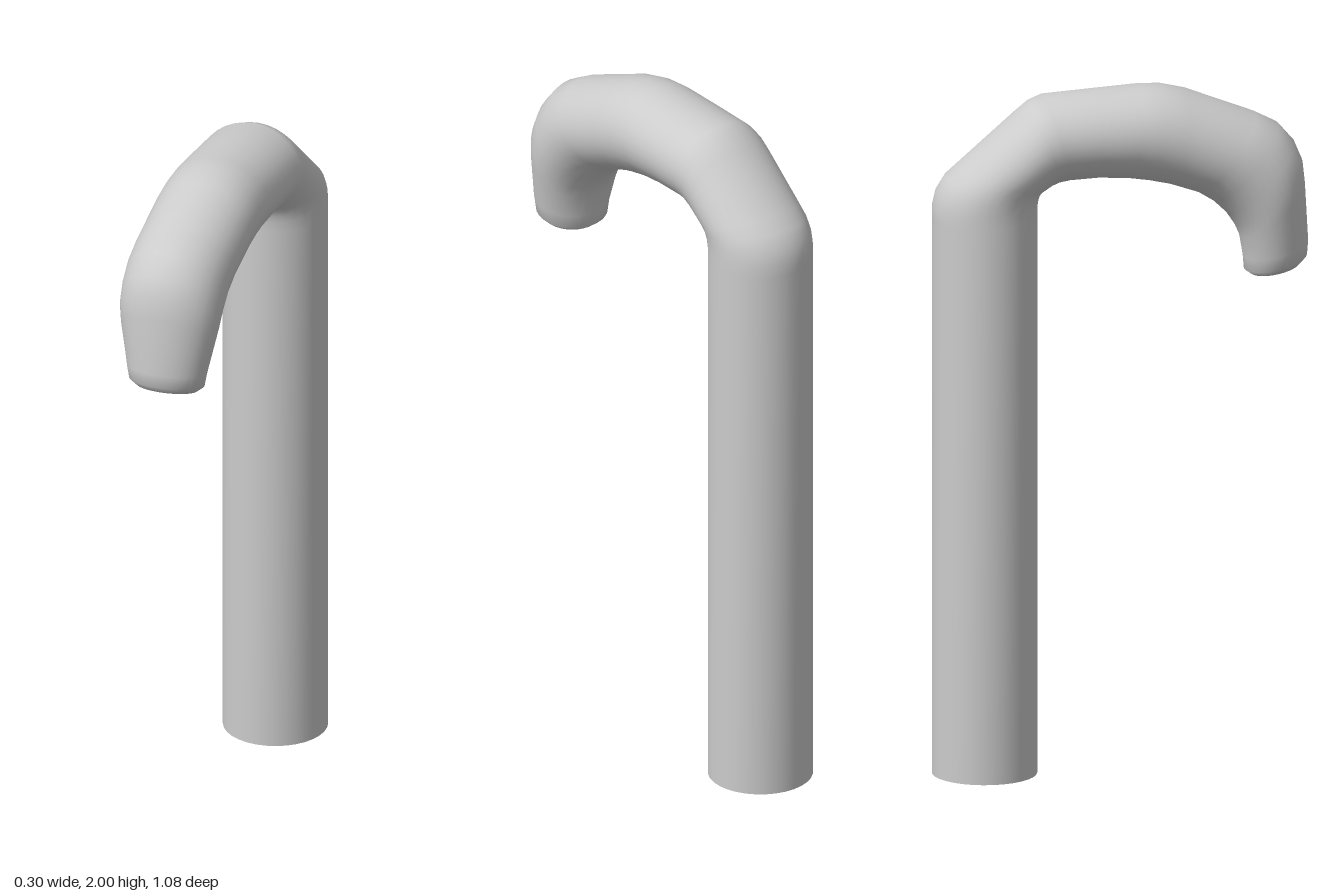
import * as THREE from 'three';

const SIDES = 32;

// Cross-sections: [outer z, outer y, inner z, inner y, half width in x]
const SECTIONS = [
  // shaft
  [-0.54, 0, -0.24, 0, 0.15],
  [-0.54, 1.63, -0.24, 1.63, 0.15],
  // elbow
  [-0.54, 1.665, -0.24, 1.66, 0.15],
  [-0.53, 1.71, -0.237, 1.68, 0.15],
  [-0.505, 1.75, -0.232, 1.695, 0.15],
  [-0.465, 1.785, -0.225, 1.705, 0.15],
  [-0.30, 1.93, -0.20, 1.72, 0.15],
  [-0.26, 1.963, -0.18, 1.728, 0.15],
  [-0.22, 1.98, -0.15, 1.733, 0.15],
  // handle
  [-0.08, 1.99, -0.07, 1.737, 0.15],
  [0.06, 2.0, 0.02, 1.732, 0.15],
  [0.12, 1.998, 0.08, 1.723, 0.15],
  [0.19, 1.982, 0.14, 1.71, 0.15],
  [0.39, 1.905, 0.22, 1.683, 0.15],
  [0.455, 1.872, 0.265, 1.655, 0.15],
  [0.5, 1.82, 0.305, 1.617, 0.15],
  [0.523, 1.765, 0.33, 1.58, 0.148],
  [0.53, 1.7, 0.345, 1.545, 0.14],
  [0.54, 1.53, 0.355, 1.485, 0.117],
  // rounded tip
  [0.537, 1.49, 0.358, 1.447, 0.11],
  [0.518, 1.467, 0.375, 1.435, 0.09],
  [0.49, 1.457, 0.4, 1.432, 0.06],
  [0.443, 1.443, 0.443, 1.443, 0],
];

// Smooth skin through elliptical rings
function loft(sections) {
  const positions = [], index = [];
  sections.forEach(([oz, oy, iz, iy, w], i) => {
    for (let j = 0; j < SIDES; j++) {
      const t = (j / SIDES) * Math.PI * 2, c = Math.cos(t) / 2;
      positions.push(w * Math.sin(t), (oy + iy) / 2 + c * (oy - iy), (oz + iz) / 2 + c * (oz - iz));
      if (i === 0) continue;
      const k = (j + 1) % SIDES, low = (i - 1) * SIDES, high = i * SIDES;
      index.push(low + j, high + j, low + k, low + k, high + j, high + k);
    }
  });
  const geometry = new THREE.BufferGeometry();
  geometry.setAttribute('position', new THREE.Float32BufferAttribute(positions, 3));
  geometry.setIndex(index);
  geometry.computeVertexNormals();
  return geometry;
}

export function createModel() {
  const group = new THREE.Group();
  group.name = 'hookedCane';
  const material = new THREE.MeshStandardMaterial({ color: 0xcccccc });

  // Shaft and curved handle in one skin
  const cane = new THREE.Mesh(loft(SECTIONS), material);
  cane.name = 'shaftAndHandle';
  group.add(cane);

  // Flat foot of the shaft
  const foot = new THREE.Mesh(new THREE.CircleGeometry(0.15, SIDES), material);
  foot.name = 'shaftFoot';
  foot.rotation.x = Math.PI / 2;
  foot.position.z = -0.39;
  group.add(foot);

  return group;
}
